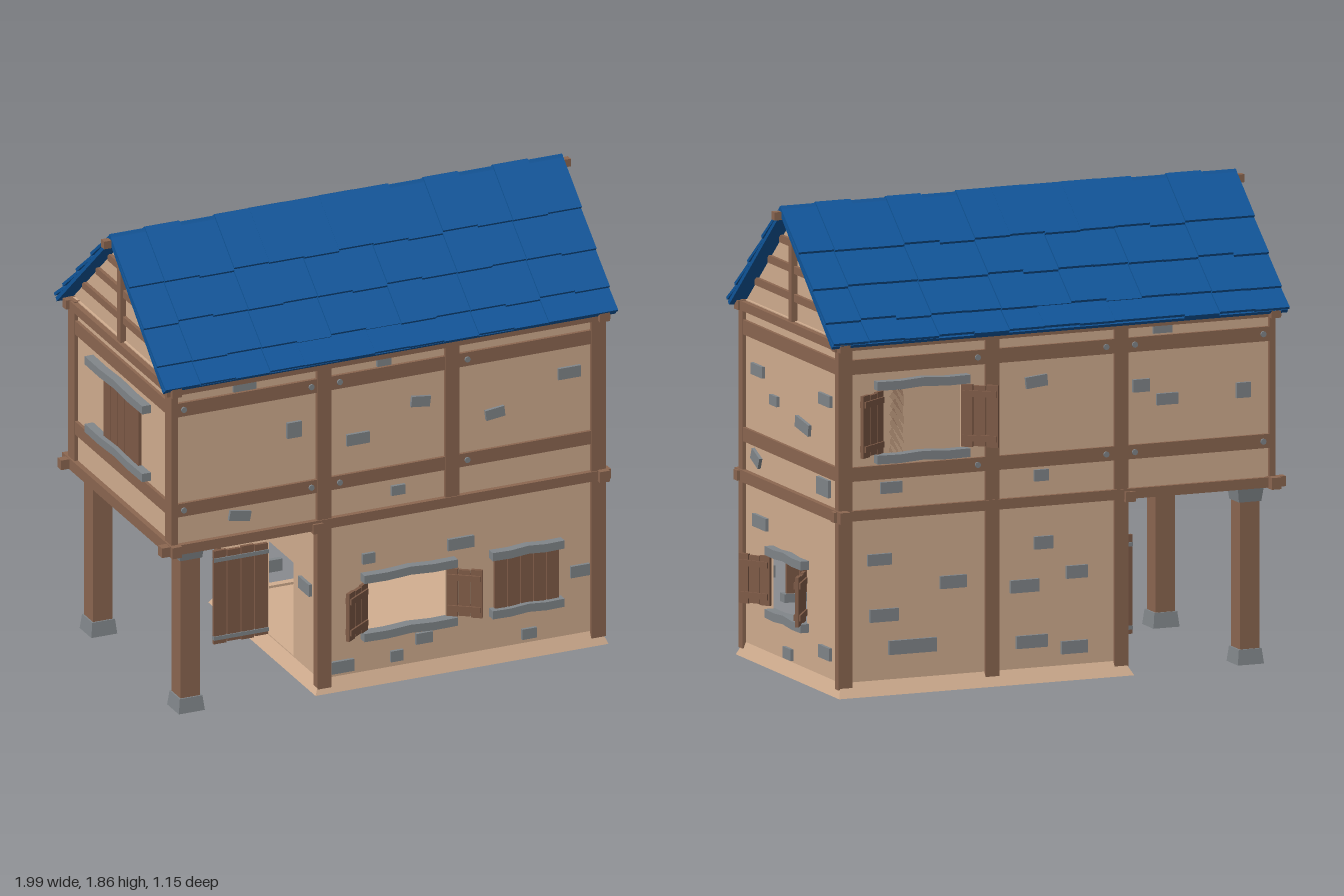
import * as THREE from 'three';
import { mergeGeometries } from 'three/addons/utils/BufferGeometryUtils.js';

const mat = (name, color) => Object.assign(new THREE.MeshStandardMaterial({ color }), { name });

export function createModel() {
  const house = new THREE.Group();
  house.name = 'house';
  const plaster = mat('plaster', 0xd2ae90);
  const timber = mat('timber', 0x8c6751);
  const board = mat('board', 0x7f5b47);
  const stone = mat('stone', 0x81868a);
  const tile = mat('roofTile', 0x0f5599);

  const add = (parent, name, geo, material) => {
    const m = new THREE.Mesh(geo, material);
    m.name = name;
    parent.add(m);
    return m;
  };
  // box given by its limits
  const boxGeo = (x0, x1, y0, y1, z0, z1) =>
    new THREE.BoxGeometry(x1 - x0, y1 - y0, z1 - z0).translate((x0 + x1) / 2, (y0 + y1) / 2, (z0 + z1) / 2);
  const box = (parent, name, material, ...lim) => add(parent, name, boxGeo(...lim), material);
  const rect = (P, x0, x1, y0, y1) => {
    const p = new P();
    p.moveTo(x0, y0); p.lineTo(x1, y0); p.lineTo(x1, y1); p.lineTo(x0, y1); p.closePath();
    return p;
  };

  // each side is a group whose local z = 0 plane is the outer wall surface
  const side = (name, angle, dist) => {
    const g = new THREE.Group();
    g.name = name;
    g.rotation.y = angle;
    g.position.set(Math.sin(angle) * dist, 0, Math.cos(angle) * dist);
    house.add(g);
    return g;
  };
  const front = side('frontSide', 0, 0.48);
  const right = side('gableSideLeft', Math.PI / 2, 0.89);
  const back = side('backSide', Math.PI, 0.46);
  const left = side('gableSideRight', -Math.PI / 2, 0.918);
  const leftLow = side('entranceSide', -Math.PI / 2, 0.3);

  // walls: thin skin below, thick panels above
  const wall = (g, u0, u1, y0, y1, thick, holes = []) => {
    const s = rect(THREE.Shape, u0, u1, y0, y1);
    holes.forEach(h => s.holes.push(rect(THREE.Path, ...h)));
    const geo = thick
      ? new THREE.ExtrudeGeometry(s, { depth: 0.02, bevelEnabled: false }).translate(0, 0, -0.02)
      : new THREE.ShapeGeometry(s);
    add(g, 'wall', geo, plaster);
  };
  wall(front, -0.3, 0.89, 0.05, 0.7, false, [[-0.11, 0.235, 0.22, 0.45]]);
  wall(right, -0.48, 0.46, 0.05, 0.7, false, [[-0.19, 0.135, 0.225, 0.46]]);
  wall(back, -0.89, 0.3, 0.05, 0.7, false);
  wall(leftLow, -0.46, 0.48, 0.05, 0.7, false, [[0.01, 0.24, 0.06, 0.45]]);
  wall(front, -0.918, 0.89, 0.7, 1.4, true);
  wall(right, -0.48, 0.46, 0.7, 1.4, true);
  wall(back, -0.89, 0.918, 0.7, 1.4, true, [[-0.73, -0.38, 0.94, 1.21]]);
  wall(left, -0.46, 0.48, 0.7, 1.4, true);
  box(house, 'groundFloor', plaster, -0.3, 0.89, 0.025, 0.045, -0.46, 0.48);
  box(house, 'upperFloor', plaster, -0.915, 0.888, 0.7, 0.72, -0.458, 0.478);

  // flared plaster foot around the ground floor
  const footShape = rect(THREE.Shape, -0.328, 0.912, -0.507, 0.497);
  footShape.holes.push(rect(THREE.Path, -0.27, 0.86, -0.45, 0.43));
  const foot = new THREE.ExtrudeGeometry(footShape, { depth: 0.055, bevelEnabled: false }).rotateX(-Math.PI / 2);
  const fp = foot.attributes.position;
  for (let i = 0; i < fp.count; i++) {
    if (fp.getY(i) < 0.03) continue;
    fp.setX(i, THREE.MathUtils.clamp(fp.getX(i), -0.3, 0.89));
    fp.setZ(i, THREE.MathUtils.clamp(fp.getZ(i), -0.46, 0.48));
  }
  foot.computeVertexNormals();
  add(house, 'foot', foot, plaster);

  // timber frame: rails, posts and long beams
  const rail = (g, u0, u1, y0, y1) => box(g, 'timberRail', timber, u0, u1, y0, y1, -0.008, 0.013);
  for (const [g, u0, u1] of [[front, -0.918, 0.89], [right, -0.48, 0.46], [back, -0.89, 0.918], [left, -0.46, 0.48]]) {
    rail(g, u0, u1, 1.265, 1.322);
    rail(g, u0, u1, 0.845, 0.9);
  }
  const post = (...lim) => box(house, 'post', timber, ...lim);
  for (const [z0, z1] of [[0.46, 0.497], [-0.473, -0.44]]) {
    post(0.845, 0.905, 0.03, 1.4, z0, z1);
    post(-0.933, -0.906, 0.7, 1.4, z0 > 0 ? 0.437 : z0, z0 > 0 ? z1 : -0.413);
    post(-0.315, -0.256, 0.02, 1.4, z0, z1);
    post(0.227, 0.286, z0 > 0 ? 0.72 : 0.03, 1.4, z0, z1);
    const s = z0 > 0 ? 0.004 : -0.004;
    box(house, 'longFloorBeam', timber, -0.975, 0.925, 0.69, 0.73, z0 + s, z1 + s);
    box(house, 'longEavesBeam', timber, -0.955, 0.922, 1.36, 1.398, z0 + s, z1 + s);
  }
  for (const [x0, x1] of [[0.87, 0.912], [-0.94, -0.9]]) {
    box(house, 'crossFloorBeam', timber, x0, x1, 0.687, 0.733, -0.512, 0.522);
    box(house, 'crossEavesBeam', timber, x0, x1, 1.36, 1.396, -0.508, 0.52);
  }
  box(house, 'crossFloorBeam', timber, -0.338, -0.296, 0.68, 0.72, -0.49, 0.51);

  // iron studs in the rails
  for (const y of [0.872, 1.294]) for (const [g, us] of [[front, [-0.88, -0.34, -0.22, 0.32]], [back, [0.88, 0.34, 0.22, -0.32]]])
    for (const u of us)
      add(g, 'stud', new THREE.CylinderGeometry(0.012, 0.012, 0.008, 8).rotateX(Math.PI / 2), stone).position.set(u, y, 0.016);

  // exposed stones: u, y, width, height, tilt
  const stones = (g, list) => list.forEach(([u, y, w, h, tilt = 0]) => {
    const m = add(g, 'wallStone', new THREE.BoxGeometry(w, h, 0.02), stone);
    m.position.set(u, y, 0.003);
    m.rotation.z = tilt;
  });
  stones(front, [
    [-0.62, 1.35, 0.096, 0.045], [-0.03, 1.35, 0.06, 0.045], [-0.41, 1.125, 0.06, 0.065], [-0.14, 1.04, 0.096, 0.047],
    [0.125, 1.15, 0.08, 0.043, -0.12], [0.44, 1.045, 0.08, 0.042, 0.12], [0.755, 1.16, 0.095, 0.047],
    [-0.64, 0.805, 0.09, 0.04, -0.18], [0.03, 0.795, 0.058, 0.04], [-0.095, 0.53, 0.052, 0.043], [0.295, 0.525, 0.11, 0.048],
    [0.8, 0.32, 0.08, 0.048], [-0.205, 0.095, 0.095, 0.05], [0.025, 0.1, 0.053, 0.045], [0.14, 0.155, 0.07, 0.045], [0.585, 0.095, 0.062, 0.043]]);
  stones(right, [
    [-0.33, 1.145, 0.11, 0.045], [0.325, 1.145, 0.11, 0.045], [-0.17, 1.055, 0.07, 0.04], [0.11, 1.005, 0.13, 0.045, -0.15],
    [-0.345, 0.797, 0.08, 0.045, -0.4], [0.31, 0.8, 0.115, 0.068], [-0.305, 0.553, 0.13, 0.05], [0.325, 0.152, 0.105, 0.05], [-0.035, 0.085, 0.075, 0.045]]);
  stones(back, [
    [-0.68, 0.81, 0.09, 0.045], [-0.07, 1.18, 0.09, 0.045, 0.1], [0.37, 1.13, 0.07, 0.05], [0.48, 1.07, 0.09, 0.045], [0.8, 1.08, 0.06, 0.06],
    [-0.05, 0.81, 0.06, 0.045], [-0.73, 0.53, 0.1, 0.045], [-0.71, 0.31, 0.12, 0.05], [-0.59, 0.18, 0.2, 0.055], [-0.42, 0.42, 0.11, 0.05],
    [-0.04, 0.545, 0.08, 0.05], [-0.12, 0.38, 0.12, 0.05], [0.1, 0.42, 0.09, 0.05], [-0.09, 0.16, 0.13, 0.05], [0.09, 0.125, 0.11, 0.05], [0.46, 1.35, 0.08, 0.04]]);
  stones(leftLow, [[-0.2, 0.53, 0.1, 0.05], [-0.1, 0.3, 0.09, 0.05], [-0.33, 0.38, 0.1, 0.05], [-0.28, 0.14, 0.11, 0.05], [0.36, 0.4, 0.1, 0.05]]);

  // windows: stone lintel and sill, hinged or closed shutters
  const slab = (g, name, u0, u1, y0, y1) => {
    const geo = new THREE.BoxGeometry(u1 - u0, y1 - y0, 0.045, 4, 1, 1);
    const p = geo.attributes.position;
    for (let i = 0; i < p.count; i++) p.setY(i, p.getY(i) + 0.004 * Math.cos(p.getX(i) / (u1 - u0) * 9));
    geo.computeVertexNormals();
    add(g, name, geo, stone).position.set((u0 + u1) / 2, (y0 + y1) / 2, 0.014);
  };
  const surround = (g, u0, u1, y0, y1) => {
    slab(g, 'lintel', u0, u1, y1, y1 + 0.034);
    slab(g, 'sill', u0, u1, y0 - 0.034, y0);
  };
  const planks = (g, name, u0, u1, y0, y1, n, z) => {
    const w = (u1 - u0) / n;
    for (let i = 0; i < n; i++)
      box(g, name, board, u0 + i * w + 0.002, u0 + (i + 1) * w - 0.002, y0 + (i % 2) * 0.004, y1 - (i % 2) * 0.004, z, z + 0.014);
  };
  const shutters = (g, uL, uR, y0, y1, w = 0.145) => [[uL, Math.PI + 0.61], [uR, -0.61]].forEach(([u, a]) => {
    const s = new THREE.Group();
    s.name = 'shutter';
    s.position.set(u, 0, 0.012);
    s.rotation.y = a;
    planks(s, 'shutterBoard', 0, w, y0, y1, 3, -0.007);
    for (const y of [y0 + 0.035, y1 - 0.035])
      box(s, 'shutterBatten', board, 0.008, w - 0.008, y - 0.012, y + 0.012, -0.014, 0.014);
    g.add(s);
  });
  surround(front, -0.125, 0.27, 0.228, 0.438);
  shutters(front, -0.105, 0.232, 0.235, 0.435);
  surround(front, 0.418, 0.722, 0.228, 0.438);
  planks(front, 'closedShutter', 0.435, 0.71, 0.222, 0.44, 5, 0.002);
  surround(right, -0.195, 0.155, 0.235, 0.448);
  shutters(right, -0.19, 0.135, 0.245, 0.44);
  surround(back, -0.75, -0.36, 0.945, 1.2);
  shutters(back, -0.72, -0.39, 0.95, 1.195, 0.15);
  surround(left, -0.27, 0.27, 0.95, 1.2);
  planks(left, 'closedShutter', -0.14, 0.19, 0.94, 1.21, 5, 0.002);

  // open plank door with iron bands
  const door = new THREE.Group();
  door.name = 'door';
  door.position.set(0, 0, 0.0);
  planks(door, 'doorBoard', -0.538, -0.305, 0.06, 0.45, 4, 0);
  for (const y of [0.085, 0.412]) box(door, 'doorBand', stone, -0.536, -0.305, y - 0.008, y + 0.008, -0.004, 0.018);
  house.add(door);

  // pillars under the overhang
  for (const z of [-0.42, 0.4]) {
    box(house, 'pillar', timber, -0.87, -0.787, 0.03, 0.7, z - 0.042, z + 0.042);
    for (const [name, y, r0, r1] of [['pillarBase', 0.03, 0.048, 0.055], ['pillarCap', 0.668, 0.055, 0.047]]) {
      const geo = new THREE.CylinderGeometry(r0 * Math.SQRT2, r1 * Math.SQRT2, 0.06, 4).rotateY(Math.PI / 4).toNonIndexed();
      geo.computeVertexNormals();
      add(house, name, geo, stone).position.set(-0.828, y, z);
    }
  }

  // gables with slats and a king post
  const gable = new THREE.Shape([[-0.49, 1.39], [0.49, 1.39], [0, 1.82]].map(p => new THREE.Vector2(...p)));
  for (const g of [right, left]) {
    add(g, 'gable', new THREE.ExtrudeGeometry(gable, { depth: 0.02, bevelEnabled: false }).translate(0, 0, -0.03), plaster);
    for (const y of [1.49, 1.6, 1.7]) {
      const h = (1.84 - y) / 0.885 - 0.03;
      box(g, 'gableSlat', timber, -h, h, y - 0.015, y + 0.015, -0.014, 0.004);
    }
    box(g, 'kingPost', timber, -0.016, 0.016, 1.39, 1.82, -0.014, 0.014);
  }
  box(house, 'ridgeBeam', timber, -1.0, 0.975, 1.8, 1.832, -0.014, 0.014);

  // roof: overlapping courses of slightly uneven tiles on two slopes
  const rows = [0, 0.24, 0.415, 0.585, 0.694], cols = 13, x0 = -0.97, cw = 1.915 / cols;
  for (const s of [1, -1]) {
    const parts = [boxGeo(-0.957, 0.957, -0.028, -0.012, 0, 0.69).translate(-0.0125 * s, 0, 0)];
    for (let r = 0; r < 4; r++) for (let c = 0; c < cols; c++) {
      const len = rows[r + 1] - rows[r];
      const loose = (r === 0 || r === 3) && (c === 4 || c === 6);
      const lift = (c % 2 ? 0.007 : 0) + (loose ? 0.008 : 0);
      const slip = (c * 7 + r * 5) % 3 * 0.004 * (r < 3 ? 1 : 0.4);
      const t = new THREE.BoxGeometry(cw, 0.012, len + slip);
      t.translate(0, 0, (len + slip) / 2).rotateX(-0.012 / len);
      t.translate(s * (x0 + (c + 0.5) * cw), -0.009 + lift, rows[r]);
      parts.push(t);
    }
    const slope = new THREE.Group();
    slope.name = s > 0 ? 'frontRoof' : 'backRoof';
    slope.rotation.y = s > 0 ? 0 : Math.PI;
    slope.position.y = 1.855;
    add(slope, 'roofTiles', mergeGeometries(parts), tile).rotation.x = Math.atan2(0.46, 0.52);
    house.add(slope);
  }
  return house;
}
